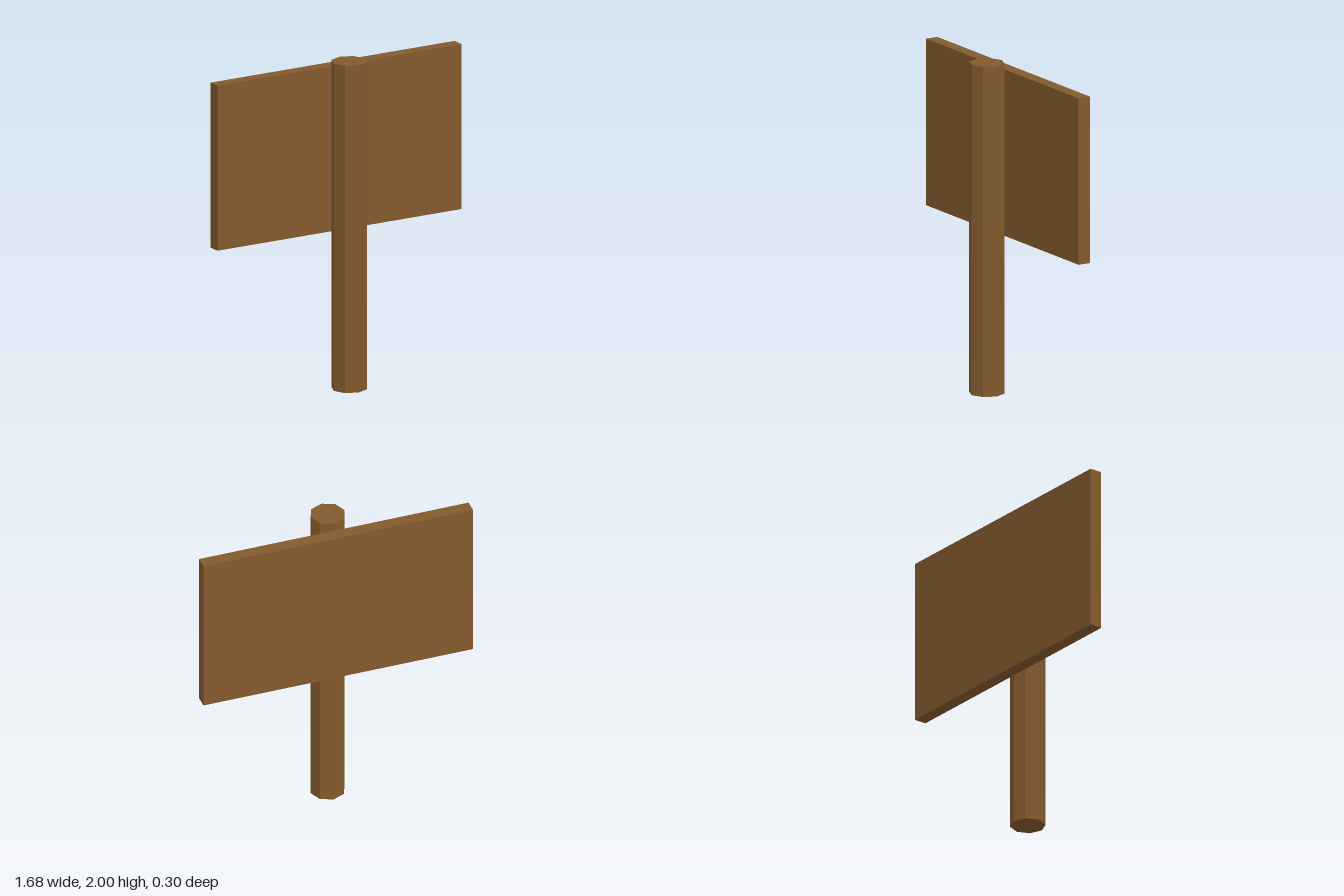
import * as THREE from 'three';

export function createModel() {
  const model = new THREE.Group();
  model.name = 'signpost';

  const wood = new THREE.MeshStandardMaterial({ color: 0x835a2d });
  wood.name = 'brown wood';

  const addPart = (name, geometry, x, y, z) => {
    // Separate the faces so every edge stays sharp
    const flat = geometry.toNonIndexed();
    flat.computeVertexNormals();
    const mesh = new THREE.Mesh(flat, wood);
    mesh.name = name;
    mesh.position.set(x, y, z);
    model.add(mesh);
    return mesh;
  };

  // Eight-sided upright, standing in front of the board
  addPart('post', new THREE.CylinderGeometry(0.106, 0.106, 2, 8), 0, 1, 0.041);

  // Blank board fixed to the back of the post, turned very slightly
  const board = addPart('board', new THREE.BoxGeometry(1.68, 1.008, 0.079), 0, 1.445, -0.106);
  board.rotation.y = -0.0036;

  return model;
}
